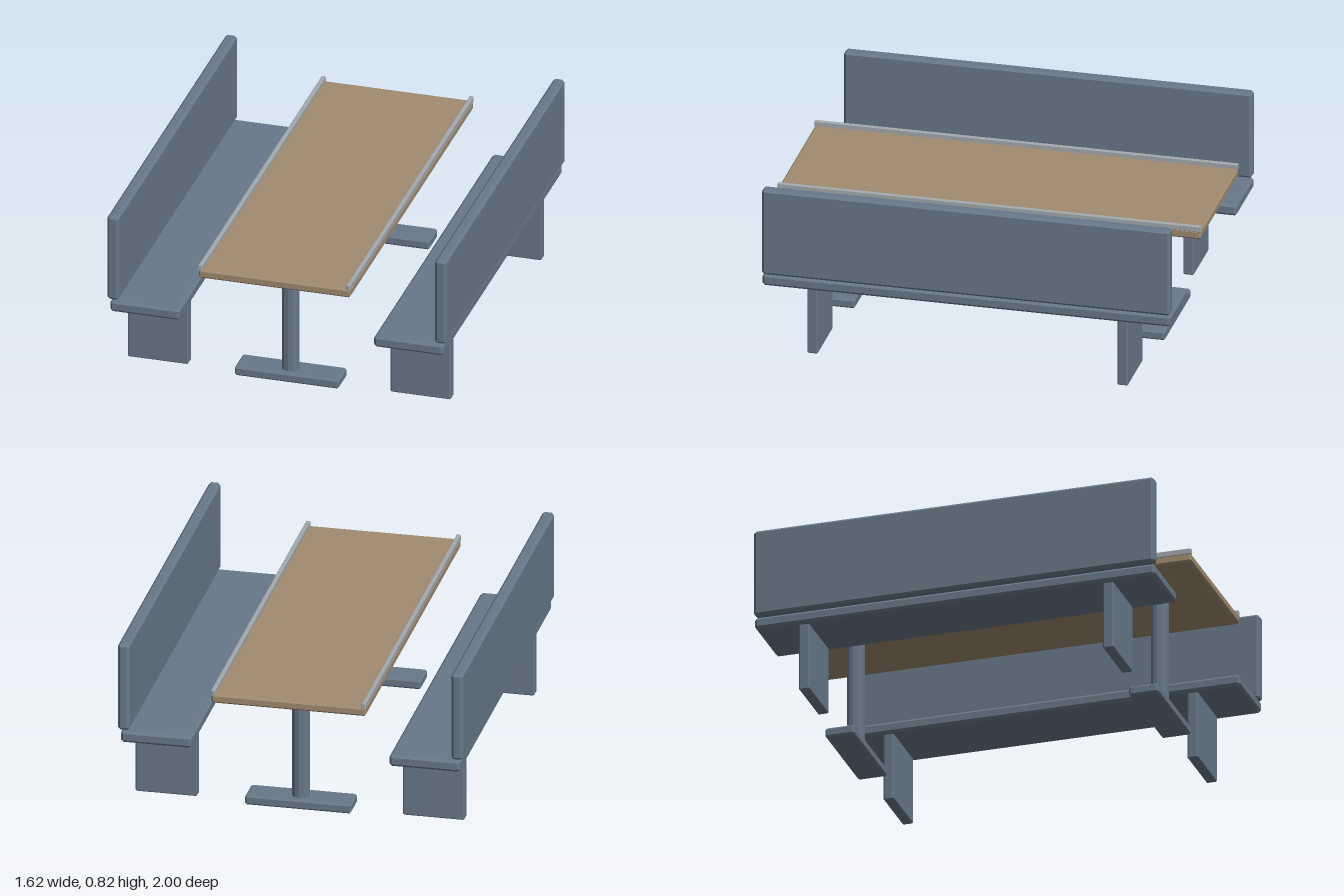
import * as THREE from 'three';
import { ConvexGeometry } from 'three/addons/geometries/ConvexGeometry.js';

const slate = new THREE.MeshStandardMaterial({ color: 0x687889 });
slate.name = 'slate blue';
const wood = new THREE.MeshStandardMaterial({ color: 0xa08b70 });
wood.name = 'tan wood';
const metal = new THREE.MeshStandardMaterial({ color: 0xa3a9ad });
metal.name = 'light grey metal';

// Box between two corners with its edges chamfered by c
function chamferBox(name, material, [x0, y0, z0], [x1, y1, z1], c) {
  const half = [(x1 - x0) / 2, (y1 - y0) / 2, (z1 - z0) / 2];
  const points = [];
  for (const sx of [-1, 1]) for (const sy of [-1, 1]) for (const sz of [-1, 1]) {
    for (let axis = 0; axis < 3; axis++) {
      const [a, b, d] = half.map((h, i) => (i === axis ? h : h - c));
      points.push(new THREE.Vector3(sx * a, sy * b, sz * d));
    }
  }
  const mesh = new THREE.Mesh(new ConvexGeometry(points), material);
  mesh.position.set((x0 + x1) / 2, (y0 + y1) / 2, (z0 + z1) / 2);
  mesh.name = name;
  return mesh;
}

const LEG_Z = 0.733;

// Bench on the +x side; turned half round for the other side
function createBench(name) {
  const bench = new THREE.Group();
  bench.name = name;
  bench.add(chamferBox('seat', slate, [0.465, 0.328, -0.965], [0.798, 0.384, 0.965], 0.012));
  bench.add(chamferBox('backrest', slate, [0.756, 0.389, -0.965], [0.812, 0.817, 0.965], 0.012));
  for (const s of [-1, 1]) {
    const z = s * LEG_Z;
    bench.add(chamferBox('benchLeg', slate, [0.484, 0, z - 0.025], [0.773, 0.332, z + 0.025], 0.005));
  }
  return bench;
}

function createTable() {
  const table = new THREE.Group();
  table.name = 'table';
  table.add(chamferBox('tableTop', wood, [-0.363, 0.582, -1], [0.363, 0.624, 1], 0.008));

  // Raised rails along both long edges
  for (const s of [-1, 1]) {
    const x = s * 0.354;
    table.add(chamferBox('edgeRail', metal, [x - 0.01, 0.618, -1], [x + 0.01, 0.647, 1], 0.003));
  }

  // Two pedestals, each a faceted post on a flat foot
  for (const s of [-1, 1]) {
    const z = s * LEG_Z;
    table.add(chamferBox('foot', slate, [-0.249, 0, z - 0.07], [0.249, 0.045, z + 0.07], 0.008));
    const geometry = new THREE.CylinderGeometry(0.042, 0.042, 0.55, 12).toNonIndexed();
    geometry.computeVertexNormals();
    const post = new THREE.Mesh(geometry, slate);
    post.name = 'post';
    post.position.set(0, 0.313, z);
    table.add(post);
  }
  return table;
}

export function createModel() {
  const model = new THREE.Group();
  model.name = 'boothSet';
  const rightBench = createBench('rightBench');
  rightBench.rotation.y = Math.PI;
  model.add(createTable(), createBench('leftBench'), rightBench);
  return model;
}
